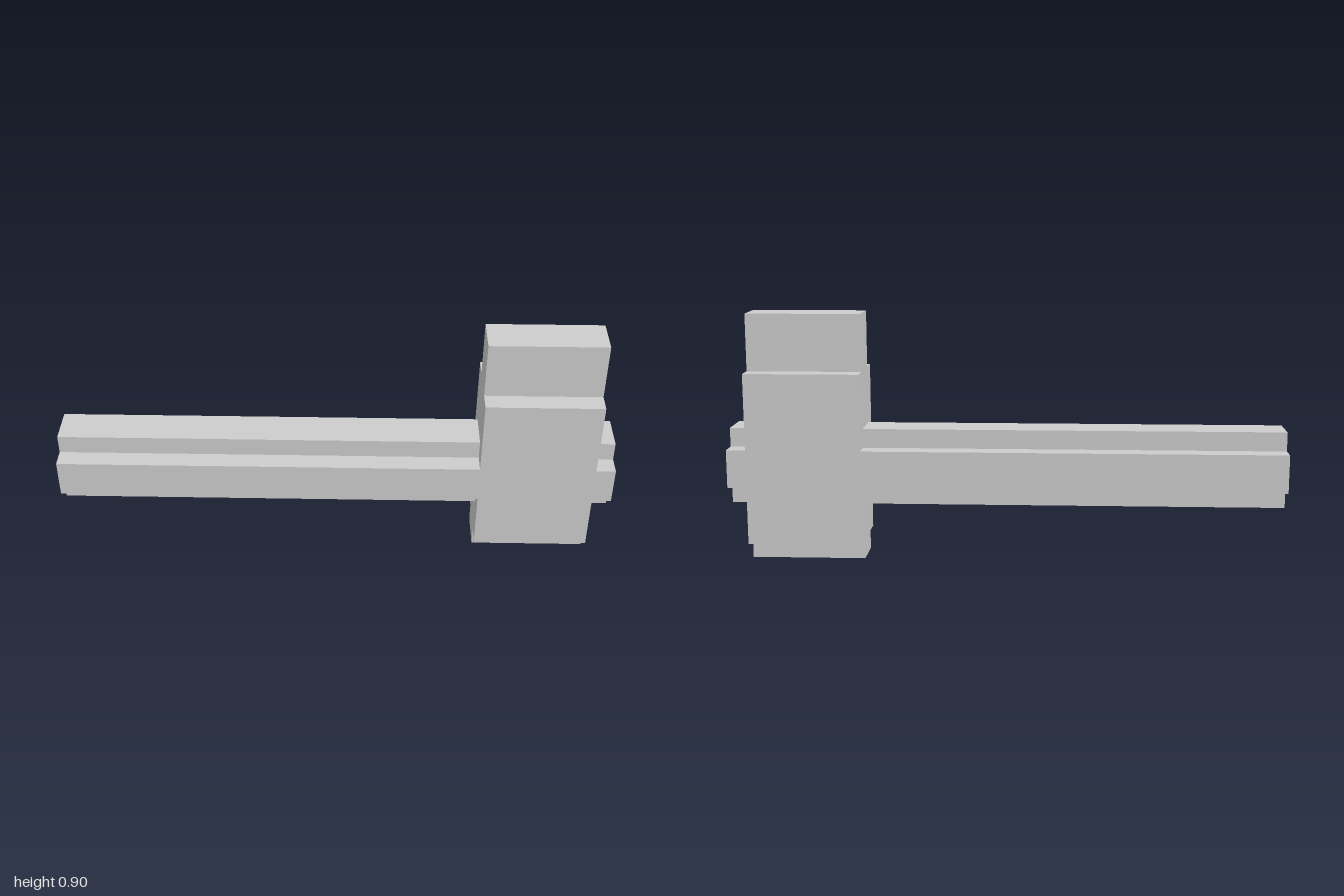
import * as THREE from 'three';

// The whole model sits on a grid 29 cells long
const U = 2 / 29;

// Stepped bar along x: narrow core from y0 to y3, wide body from y1 to y2 (in cells)
function steppedBar(name, x0, x1, [y0, y1, y2, y3], material) {
  const inner = 1, outer = 2;
  const half = [[inner, y0], [inner, y1], [outer, y1], [outer, y2], [inner, y2], [inner, y3]];
  const mirrored = half.map(([z, y]) => [-z, y]).reverse();
  const shape = new THREE.Shape([...half, ...mirrored].map(([z, y]) => new THREE.Vector2(z * U, y * U)));
  const geometry = new THREE.ExtrudeGeometry(shape, { depth: (x1 - x0) * U, bevelEnabled: false });
  geometry.rotateY(Math.PI / 2);
  geometry.translate(x0 * U - 1, 0, 0);
  const mesh = new THREE.Mesh(geometry, material);
  mesh.name = name;
  return mesh;
}

export function createModel() {
  const group = new THREE.Group();
  group.name = 'hammer';
  const grey = new THREE.MeshStandardMaterial({ color: 0xcccccc });
  grey.name = 'light grey';

  // Handle passes through the head and pokes out as a short stub
  group.add(steppedBar('handle', 0, 29, [3, 4, 6, 7], grey));
  // Head with a tall upper end and a short lower end
  group.add(steppedBar('head', 22, 28, [0, 1, 10, 13], grey));
  return group;
}
